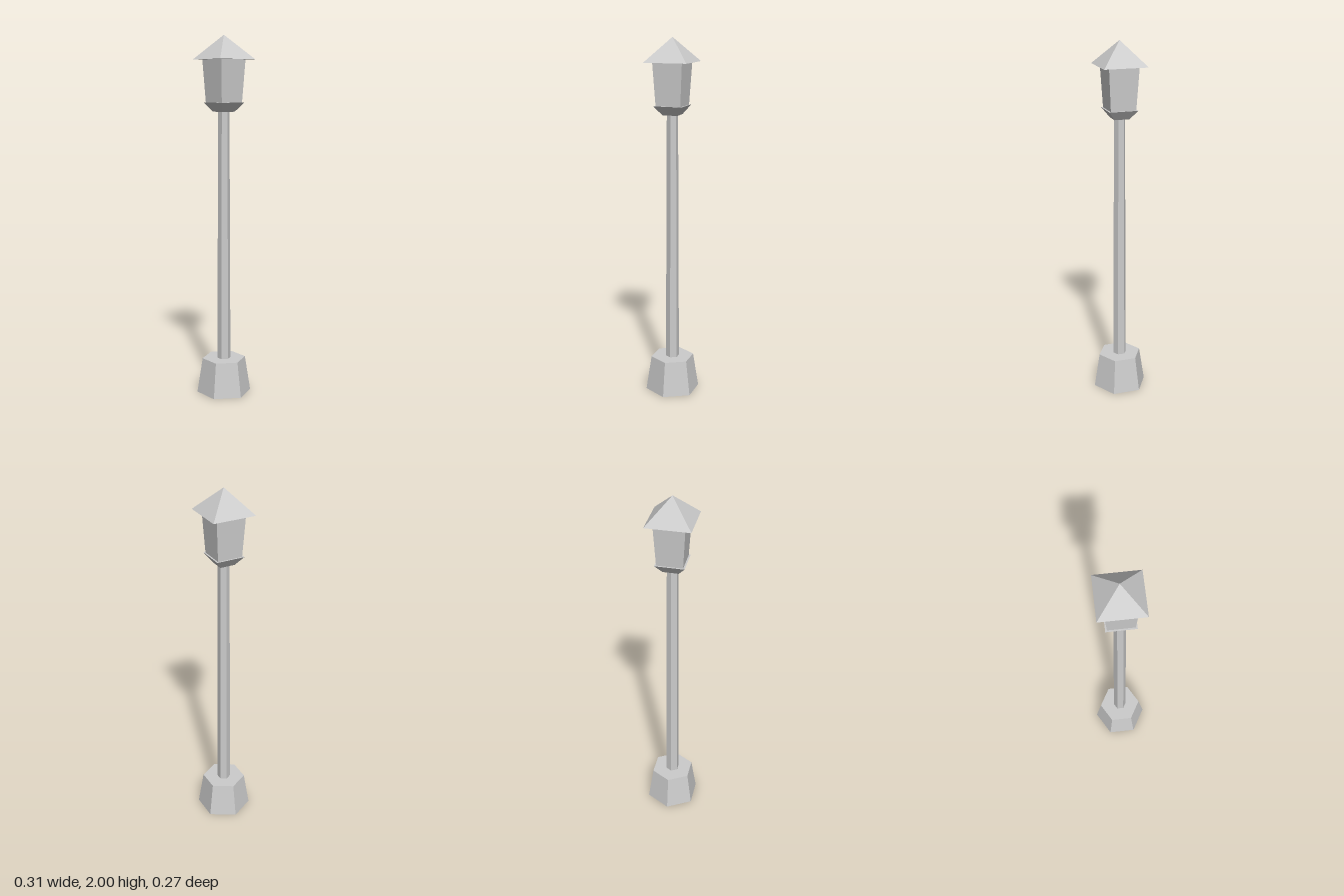
import * as THREE from 'three';
import { mergeGeometries } from 'three/addons/utils/BufferGeometryUtils.js';

const stone = new THREE.MeshStandardMaterial({ color: 0xcccccc, flatShading: true, side: THREE.DoubleSide });
stone.name = 'light grey';

// Open tapered prism; sides is 6 (corners on the x axis) or 4 (flat to the axes).
// Radii are corner radii for six sides, half widths for four.
function taper(sides, bottom, top, y0, y1) {
  const k = sides === 4 ? Math.SQRT2 : 1;
  const start = sides === 4 ? Math.PI / 4 : Math.PI / 2;
  const g = new THREE.CylinderGeometry(top * k, bottom * k, y1 - y0, sides, 1, true, start);
  return g.translate(0, (y0 + y1) / 2, 0);
}

// Flat horizontal cap matching the prisms, facing up (1) or down (-1).
function cap(sides, radius, y, dir) {
  const k = sides === 4 ? Math.SQRT2 : 1;
  const g = new THREE.CircleGeometry(radius * k, sides, sides === 4 ? Math.PI / 4 : 0);
  return g.rotateX(-dir * Math.PI / 2).translate(0, y, 0);
}

export function createModel() {
  const group = new THREE.Group();
  group.name = 'lampPost';
  const add = (name, ...geometries) => {
    const mesh = new THREE.Mesh(mergeGeometries(geometries), stone);
    mesh.name = name;
    group.add(mesh);
  };

  // Hollow foot, open underneath
  add('base', taper(6, 0.153, 0.122, 0, 0.197), cap(6, 0.122, 0.197, 1));
  // Slender post
  add('pole', taper(6, 0.038, 0.031, 0.197, 1.59));
  // Lantern: flared collar, body and pointed roof
  add('collar', taper(4, 0.042, 0.079, 1.59, 1.64), cap(4, 0.042, 1.59, -1), cap(4, 0.079, 1.64, 1));
  add('lantern', taper(4, 0.07, 0.083, 1.64, 1.87));
  add('roof', taper(4, 0.12, 0, 1.87, 2), cap(4, 0.12, 1.87, -1));
  return group;
}
